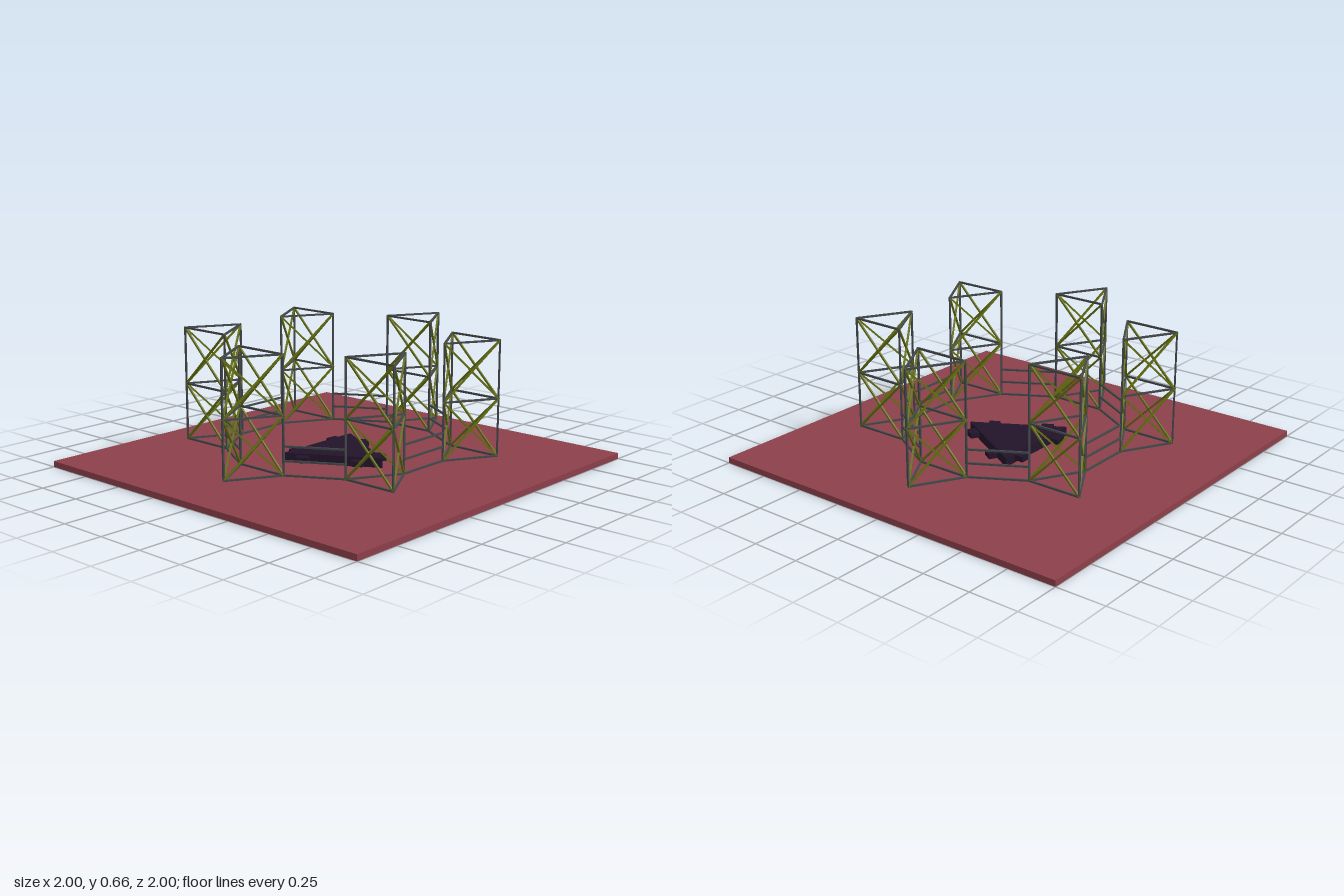
import * as THREE from 'three';

const paint = (color) => new THREE.MeshStandardMaterial({ color, flatShading: true });
const floorMat = paint(0x8c3f4a);
const steelMat = paint(0x44484a);
const braceMat = paint(0x667010);
const robotMat = paint(0x22142a);

// Square bar running from point a to point b
function bar(name, a, b, material, size = 0.009) {
  const mesh = new THREE.Mesh(new THREE.BoxGeometry(size, size, a.distanceTo(b) + size * 0.6), material);
  mesh.name = name;
  mesh.position.copy(a).add(b).multiplyScalar(0.5);
  mesh.lookAt(b);
  return mesh;
}

const levels = [0.084, 0.371, 0.658];
const corners = [[0, 0.788], [0.143, 0.541], [-0.143, 0.541]];
const at = ([x, z], y) => new THREE.Vector3(x, y, z);

// Three-sided lattice tower, pointing outward along +z
function createTower() {
  const tower = new THREE.Group();
  tower.name = 'latticeTower';
  corners.forEach((p, i) => {
    const q = corners[(i + 1) % 3];
    tower.add(bar('post', at(p, levels[0]), at(p, levels[2]), steelMat));
    levels.forEach((y, k) => {
      tower.add(bar('crossbar', at(p, y), at(q, y), steelMat));
      if (k === 2) return;
      tower.add(bar('brace', at(p, y), at(q, levels[k + 1]), braceMat));
      tower.add(bar('brace', at(q, y), at(p, levels[k + 1]), braceMat));
    });
  });
  return tower;
}

// Three rails joining one tower to the next
function createRails() {
  const rails = new THREE.Group();
  rails.name = 'fenceRails';
  for (const y of [0.084, 0.154, 0.224]) {
    rails.add(bar('rail', at([0.143, 0.541], y), at([0.397, 0.394], y), steelMat));
  }
  return rails;
}

// Triangular robot with two blocks on each side
function createRobot() {
  const robot = new THREE.Group();
  robot.name = 'robot';
  const body = new THREE.Mesh(new THREE.CylinderGeometry(0.287, 0.287, 0.048, 3), robotMat);
  body.name = 'robotBody';
  body.rotation.y = Math.PI / 2;
  body.position.y = 0.054;
  robot.add(body);
  for (let i = 0; i < 3; i++) {
    const side = new THREE.Group();
    side.name = 'robotSide';
    side.rotation.y = Math.PI + (i * Math.PI * 2) / 3;
    const wide = new THREE.Mesh(new THREE.BoxGeometry(0.055, 0.028, 0.062), robotMat);
    wide.name = 'wideBlock';
    wide.position.set(0.162, 0.056, 0.147);
    const narrow = new THREE.Mesh(new THREE.BoxGeometry(0.04, 0.026, 0.058), robotMat);
    narrow.name = 'narrowBlock';
    narrow.position.set(0.175, 0.055, -0.128);
    // Short axle holding the narrow block off the body
    const axle = bar('axle', new THREE.Vector3(0.13, 0.055, -0.128),
      new THREE.Vector3(0.165, 0.055, -0.128), robotMat, 0.012);
    side.add(wide, narrow, axle);
    robot.add(side);
  }
  return robot;
}

export function createModel() {
  const model = new THREE.Group();
  model.name = 'arena';
  const floor = new THREE.Mesh(new THREE.BoxGeometry(2, 0.03, 2), floorMat);
  floor.name = 'floor';
  floor.position.y = 0.015;
  model.add(floor, createRobot());

  // Ring of six towers and the rails between them
  for (let i = 0; i < 6; i++) {
    const sector = new THREE.Group();
    sector.name = 'arenaSector';
    sector.rotation.y = (i * Math.PI) / 3;
    sector.add(createTower(), createRails());
    model.add(sector);
  }
  return model;
}
